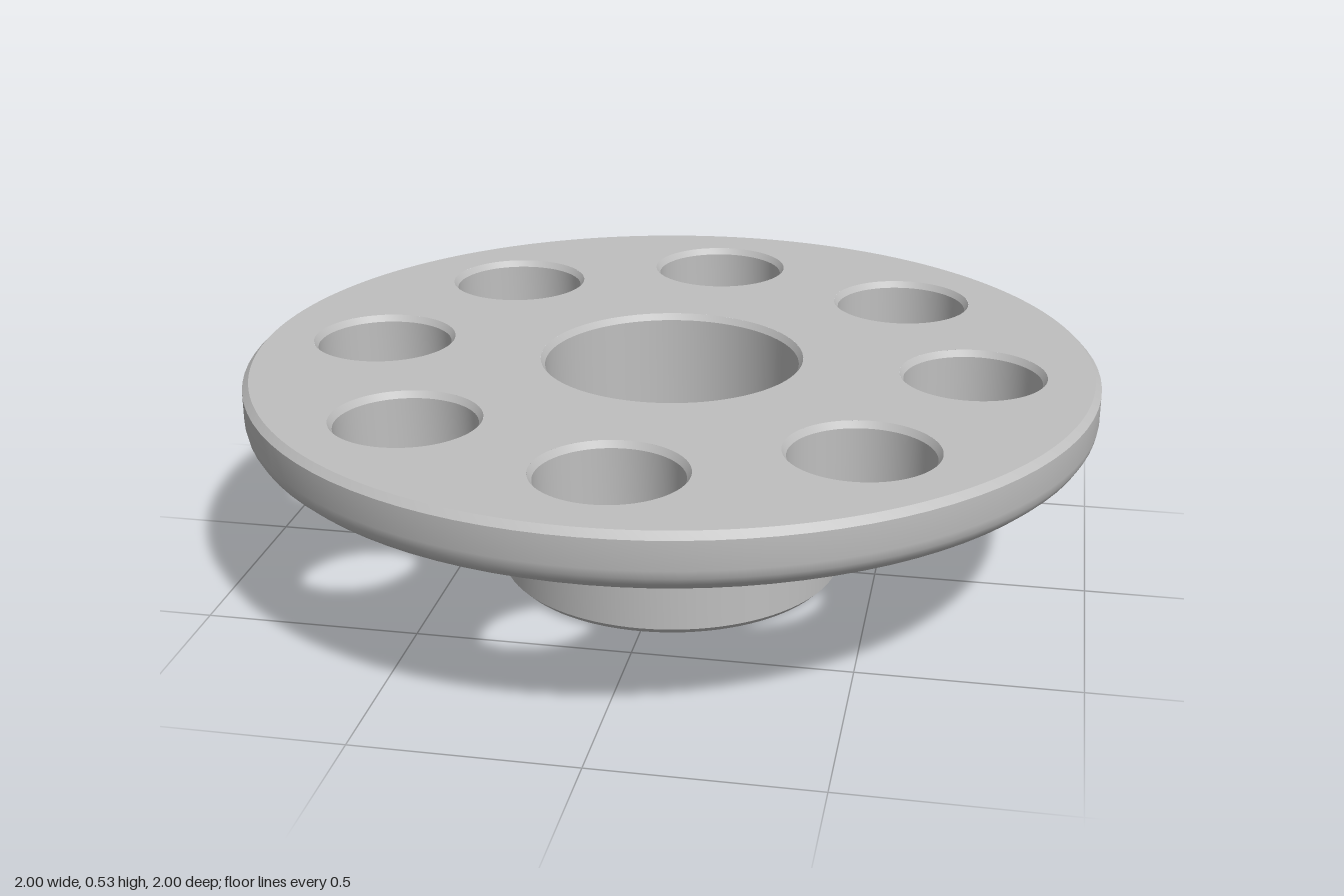
import * as THREE from 'three';
import { toCreasedNormals } from 'three/addons/utils/BufferGeometryUtils.js';

const SEGMENTS = 96;
const TOP = 0.53, UNDER = 0.36;          // disc faces
const BEVEL = 0.015;
const HOLE_COUNT = 8, HOLE_RING = 0.707, HOLE_R = 0.16, HOLE_MOUTH = 0.17;

export function createModel() {
  const group = new THREE.Group();
  const steel = new THREE.MeshStandardMaterial({ color: 0xbfbfbf });
  steel.name = 'grey metal';

  const add = (name, geometry, x = 0, z = 0) => {
    const mesh = new THREE.Mesh(geometry, steel);
    mesh.name = name;
    mesh.position.set(x, 0, z);
    group.add(mesh);
  };

  // Turned surface: smooth around the axis, crisp at bevels
  const turned = (profile) => toCreasedNormals(
    new THREE.LatheGeometry(profile.map(([r, y]) => new THREE.Vector2(r, y)), SEGMENTS),
    Math.PI / 6
  );

  const holeCentres = Array.from({ length: HOLE_COUNT }, (_, i) => {
    const a = (i / HOLE_COUNT) * Math.PI * 2;
    return [Math.cos(a) * HOLE_RING, Math.sin(a) * HOLE_RING];
  });

  // Flat ring pierced by the circle of holes
  const piercedFace = (outer, inner) => {
    const shape = new THREE.Shape().absarc(0, 0, outer, 0, Math.PI * 2, false);
    for (const [x, y, r] of [[0, 0, inner], ...holeCentres.map((c) => [...c, HOLE_MOUTH])]) {
      shape.holes.push(new THREE.Path().absarc(x, y, r, 0, Math.PI * 2, true));
    }
    return new THREE.ShapeGeometry(shape, SEGMENTS);
  };

  // Disc faces
  add('discTop', piercedFace(0.985, 0.31).rotateX(-Math.PI / 2).translate(0, TOP, 0));
  add('discUnderside', piercedFace(0.88, 0.41).rotateX(Math.PI / 2).translate(0, UNDER, 0));

  // Rim: shallow rounded underside, straight edge, small top bevel
  add('discRim', turned([
    [0.88, UNDER], [0.91, 0.372], [0.943, 0.385], [0.968, 0.398],
    [0.986, 0.414], [0.996, 0.431], [1, 0.45],
    [1, TOP - BEVEL], [0.985, TOP],
  ]));

  // Central bore and hub
  add('hub', turned([
    [0.31, TOP], [0.3, TOP - BEVEL], [0.3, BEVEL], [0.31, 0],
    [0.395, 0], [0.41, BEVEL], [0.41, UNDER],
  ]));

  // Bevelled walls of the holes
  const wall = turned([
    [HOLE_MOUTH, TOP], [HOLE_R, TOP - BEVEL],
    [HOLE_R, UNDER + BEVEL], [HOLE_MOUTH, UNDER],
  ]);
  holeCentres.forEach(([x, z], i) => add(`holeWall${i + 1}`, wall, x, z));

  return group;
}
